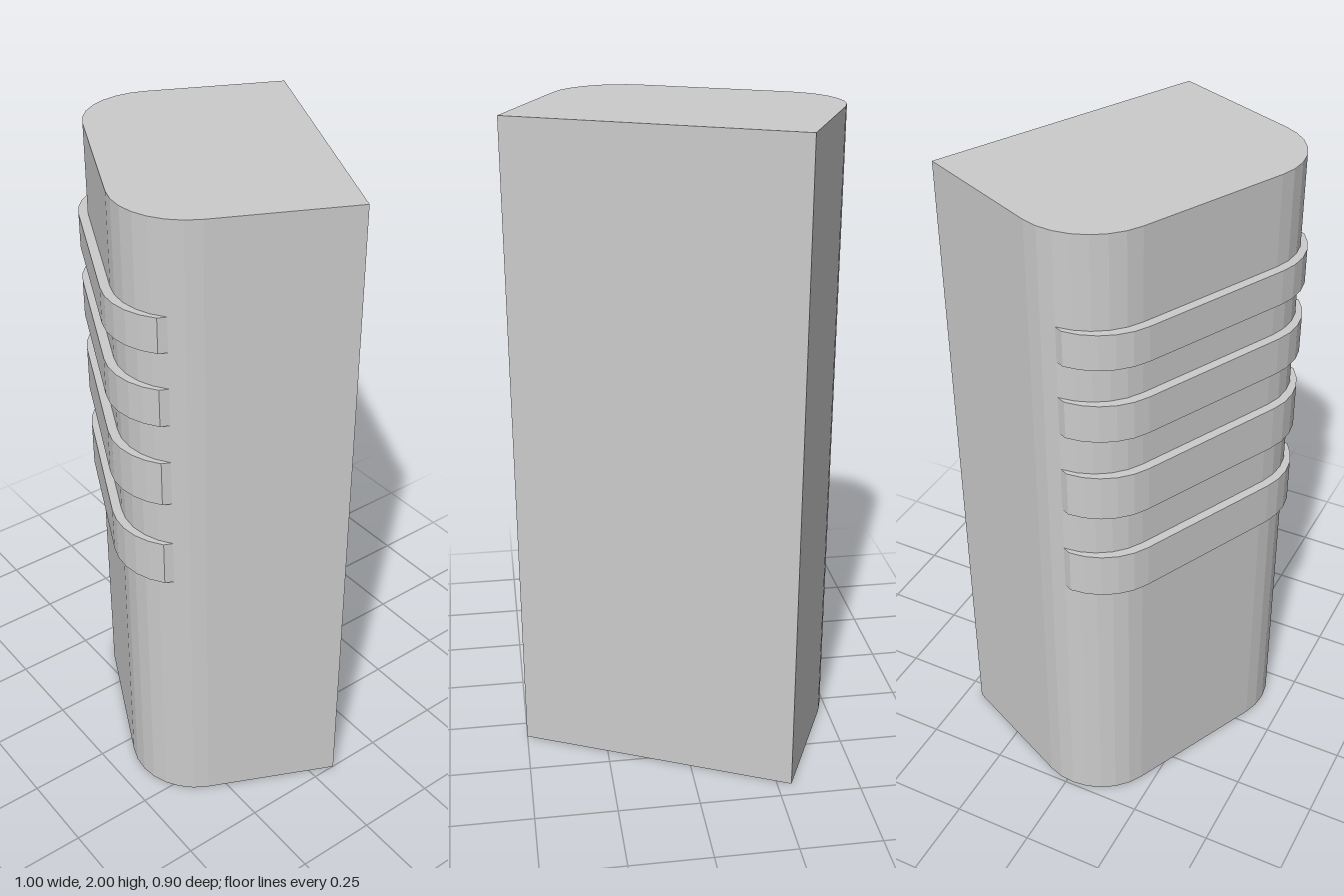
import * as THREE from 'three';

const W = 0.878, D = 0.627, R = 0.21, SEG = 7; // plan width, depth, front corner radius, facets per corner
const RAISE = 0.027;                           // how far the bands stand forward

const material = new THREE.MeshStandardMaterial({ color: 0xcccccc, flatShading: true });

// Rounded front edge in plan, from right side to left side, skipping some facets at both ends
function frontEdge(skip, shift = 0) {
  const pts = [];
  for (const [cx, start] of [[W - R, 0], [R, Math.PI / 2]]) {
    for (let i = 0; i <= SEG; i++) {
      const a = start + (i / SEG) * Math.PI / 2;
      pts.push(new THREE.Vector2(cx + R * Math.cos(a), D - R + R * Math.sin(a) + shift));
    }
  }
  return pts.slice(skip, pts.length - skip);
}

// Upright prism from a plan outline (x, z) between two heights
function prism(name, outline, bottom, top) {
  const geo = new THREE.ExtrudeGeometry(new THREE.Shape(outline), { depth: top - bottom, bevelEnabled: false });
  geo.rotateX(Math.PI / 2).translate(0, top, 0);
  const mesh = new THREE.Mesh(geo, material);
  mesh.name = name;
  return mesh;
}

export function createModel() {
  const group = new THREE.Group();
  group.name = 'bandedBlock';

  // Everything is turned about the back corner
  const turned = new THREE.Group();
  turned.name = 'turnedBlock';
  turned.position.set(-0.294, 0, -0.447);
  turned.rotation.y = -THREE.MathUtils.degToRad(25.1);
  group.add(turned);

  // Main block: square back, rounded front corners
  const plan = [new THREE.Vector2(0, 0), new THREE.Vector2(W, 0), ...frontEdge(0)];
  turned.add(prism('body', plan, 0, 2));

  // Raised bands wrapping the front
  const bandPlan = [...frontEdge(2, RAISE), ...frontEdge(2).reverse()];
  const heights = [[0.86, 1.0], [1.14, 1.28], [1.4, 1.515], [1.625, 1.73]];
  heights.forEach(([bottom, top], i) => turned.add(prism(`band${i + 1}`, bandPlan, bottom, top)));

  return group;
}
